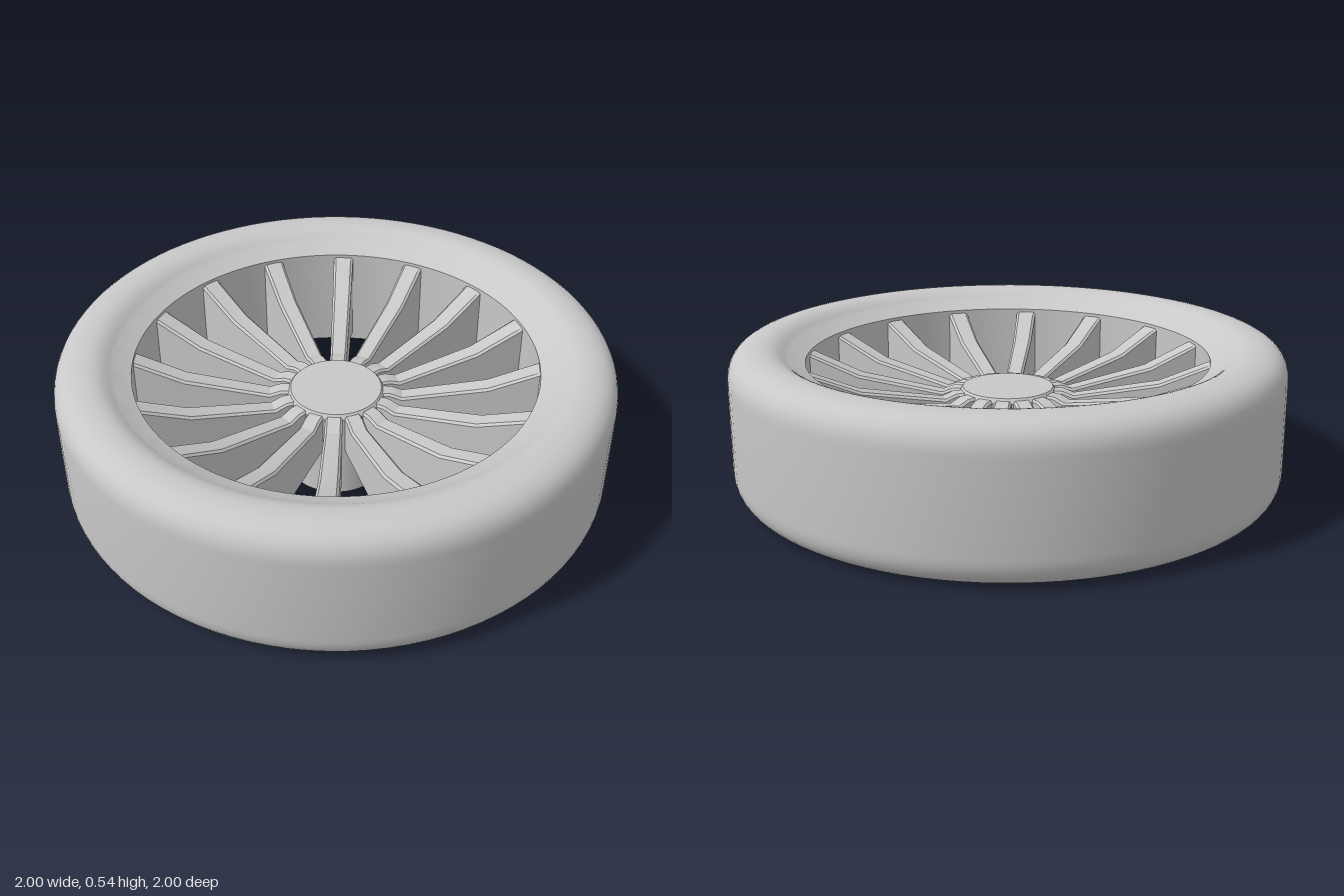
import * as THREE from 'three';
import { toCreasedNormals } from 'three/addons/utils/BufferGeometryUtils.js';

const HEIGHT = 0.54;
const SPOKES = 16;

// Rounded rim: closed profile, symmetric about mid height
function rimGeometry() {
  const top = new THREE.Path();
  top.moveTo(1, HEIGHT / 2);
  top.lineTo(1, 0.43);
  top.bezierCurveTo(1, 0.5, 0.96, HEIGHT, 0.88, HEIGHT);
  top.bezierCurveTo(0.83, HEIGHT, 0.81, 0.515, 0.79, 0.503);
  top.lineTo(0.728, 0.473);
  const upper = top.getPoints(10);
  const lower = upper.map(p => new THREE.Vector2(p.x, HEIGHT - p.y)).reverse();
  const profile = [...upper, ...lower];
  return toCreasedNormals(new THREE.LatheGeometry(profile, 96), 0.6);
}

// Solid hub with a small chamfer on the upper edge
function hubGeometry() {
  const profile = [[0, 0], [0.178, 0], [0.178, 0.338], [0.165, 0.355], [0, 0.355]]
    .map(([r, y]) => new THREE.Vector2(r, y));
  return toCreasedNormals(new THREE.LatheGeometry(profile, 64), 0.5);
}

// Spoke: side profile along +x, flaring towards the rim
function spokeGeometry() {
  const bevel = 0.008;
  const side = new THREE.Shape([
    [0.15, 0.2], [0.2, 0.198], [0.58, 0.173], [0.735, 0.083],
    [0.735, 0.457], [0.55, 0.377], [0.24, 0.322], [0.2, 0.338], [0.15, 0.34],
  ].map(([r, y]) => new THREE.Vector2(r, y)));
  const depth = 0.05;
  const geo = new THREE.ExtrudeGeometry(side, {
    depth, bevelEnabled: true, bevelThickness: bevel, bevelSize: bevel, bevelSegments: 1,
  });
  geo.translate(0, 0, -depth / 2);
  const pos = geo.attributes.position;
  for (let i = 0; i < pos.count; i++) {
    const flare = 0.85 + 0.32 * pos.getX(i) / 0.73;
    pos.setZ(i, pos.getZ(i) * flare);
  }
  geo.computeVertexNormals();
  return toCreasedNormals(geo, 0.55);
}

export function createModel() {
  const grey = new THREE.MeshStandardMaterial({ color: 0xc8c8c8 });
  grey.name = 'lightGrey';
  const wheel = new THREE.Group();
  wheel.name = 'wheel';

  const add = (name, geometry) => {
    const mesh = new THREE.Mesh(geometry, grey);
    mesh.name = name;
    wheel.add(mesh);
    return mesh;
  };

  add('rim', rimGeometry());
  add('hub', hubGeometry());

  // Ring of spokes
  const spoke = spokeGeometry();
  for (let i = 0; i < SPOKES; i++) {
    add('spoke', spoke).rotation.y = 0.047 + (i / SPOKES) * Math.PI * 2;
  }
  return wheel;
}
